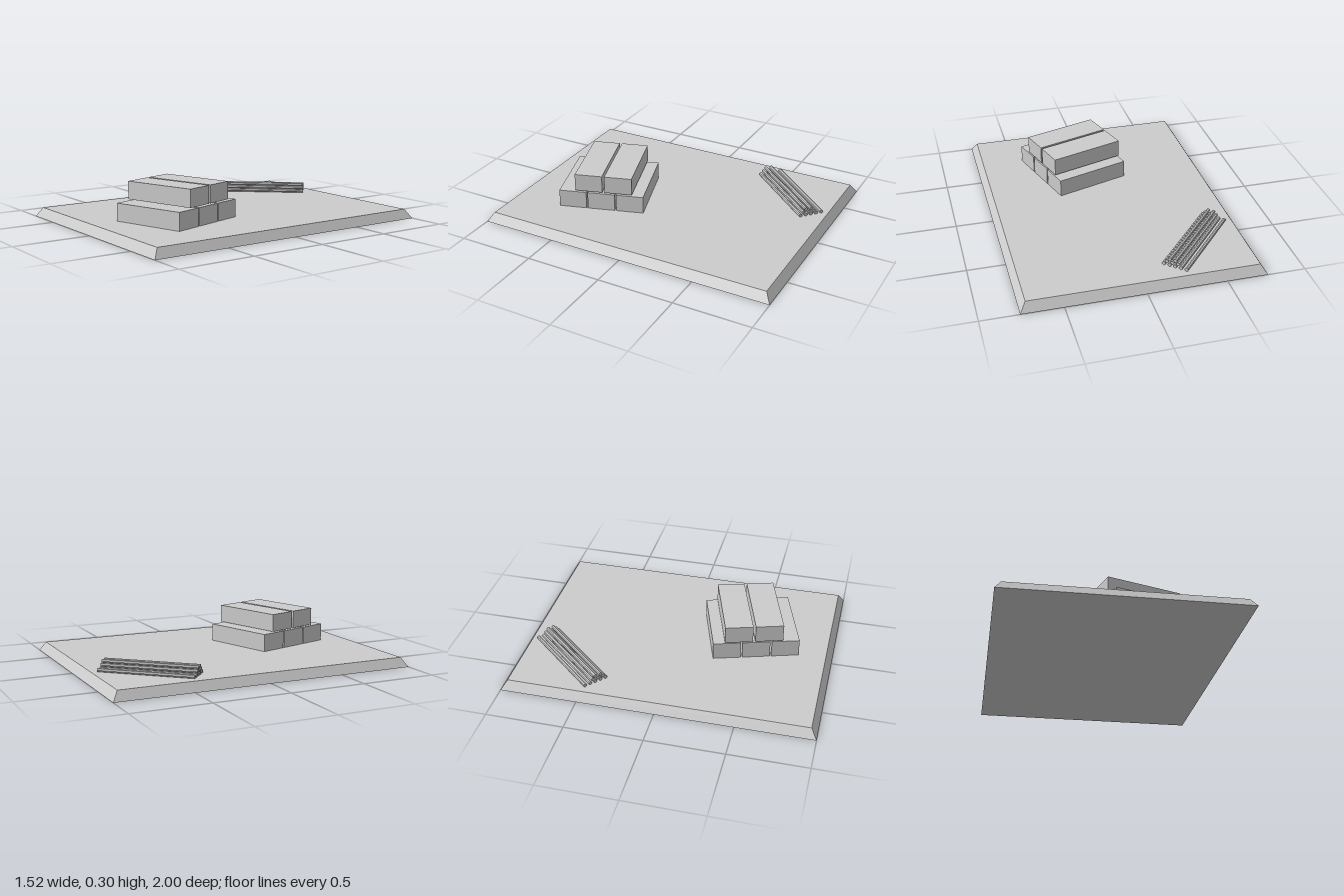
import * as THREE from 'three';

const material = new THREE.MeshStandardMaterial({ color: 0xcccccc, flatShading: true });

function addMesh(parent, name, geometry, x, y, z) {
  const mesh = new THREE.Mesh(geometry, material);
  mesh.name = name;
  mesh.position.set(x, y, z);
  parent.add(mesh);
  return mesh;
}

// Slab with bevelled sides: the top corners are pulled inward
function slabGeometry(width, height, depth, inset) {
  const geometry = new THREE.BoxGeometry(width, height, depth);
  const p = geometry.attributes.position;
  for (let i = 0; i < p.count; i++) {
    if (p.getY(i) > 0) {
      p.setX(i, p.getX(i) - Math.sign(p.getX(i)) * inset);
      p.setZ(i, p.getZ(i) - Math.sign(p.getZ(i)) * inset);
    }
  }
  geometry.computeVertexNormals();
  return geometry;
}

export function createModel() {
  const model = new THREE.Group();
  model.name = 'storagePlatform';
  addMesh(model, 'base', slabGeometry(1.52, 0.06, 2, 0.038), 0, 0.03, 0);

  // Stacked blocks: three below, two above
  const blocks = new THREE.Group();
  blocks.name = 'blockStack';
  blocks.position.set(0.1225, 0.06, 0.443);
  blocks.rotation.y = 0.303;
  model.add(blocks);
  const block = new THREE.BoxGeometry(0.503, 0.115, 0.18);
  for (const z of [-0.19, 0, 0.19]) addMesh(blocks, 'lowerBlock', block, 0, 0.0575, z);
  for (const z of [-0.1145, 0.0815]) addMesh(blocks, 'upperBlock', block, -0.003, 0.1815, z);

  // Pile of rods in three layers, each resting in the gaps of the one below
  const rods = new THREE.Group();
  rods.name = 'rodPile';
  rods.position.set(-0.4125, 0.06, -0.643);
  rods.rotation.y = 0.843;
  model.add(rods);
  const radius = 0.012, spacing = 0.037;
  const rod = new THREE.CylinderGeometry(radius, radius, 0.616, 8).rotateZ(Math.PI / 2);
  const layers = [[-2, -1, 0, 1, 2], [-0.5, 0.5, 1.5], [0, 1]];
  layers.forEach((slots, layer) => {
    for (const slot of slots) {
      addMesh(rods, 'rod', rod, 0, radius + layer * 0.02, slot * spacing);
    }
  });
  return model;
}
